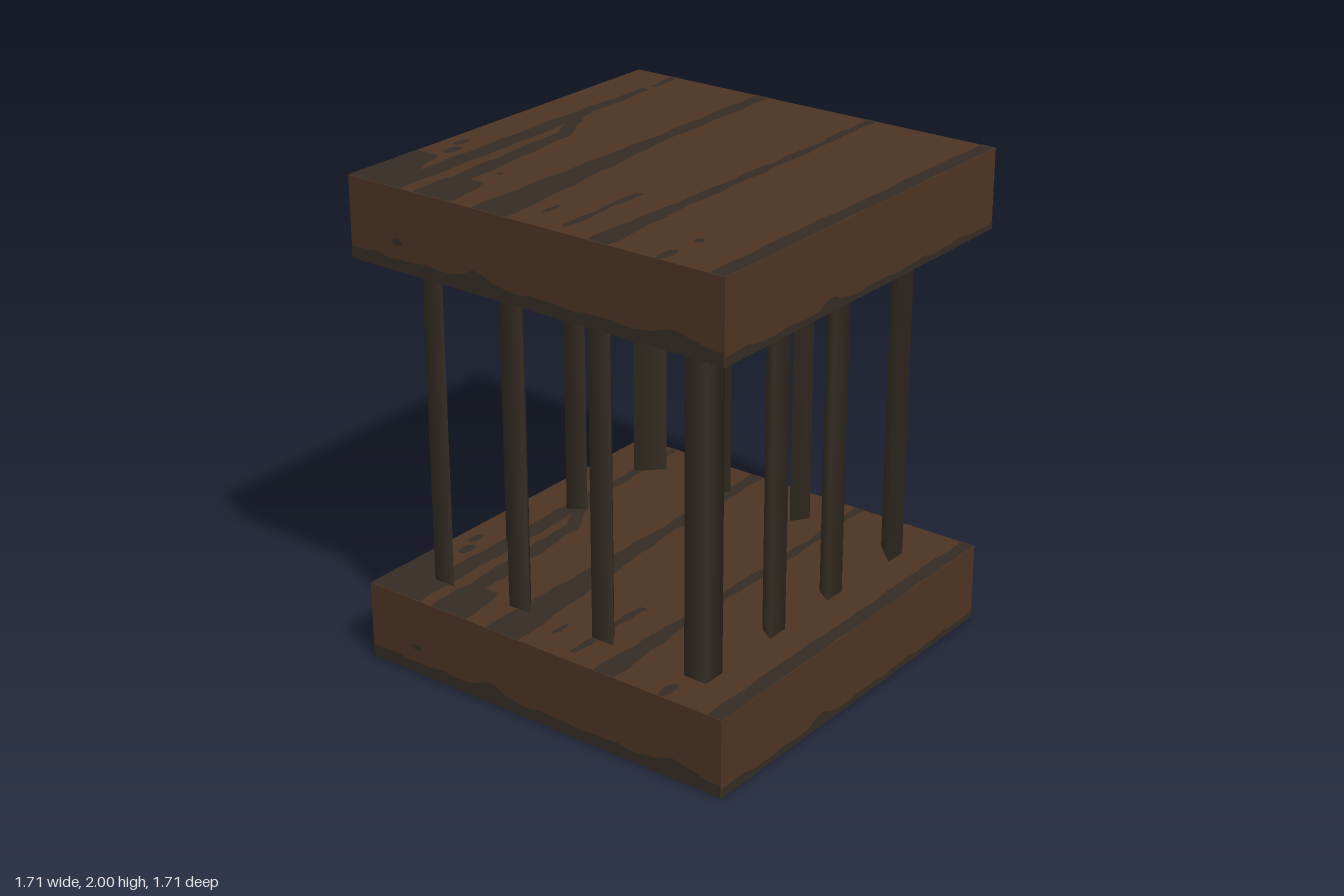
import * as THREE from 'three';

const HALF = 0.853, SLAB_H = 0.325, LIFT = 0.002;

// Wavy dark lower edges: a base height plus humps of [position, height, spread]
const EDGE_FRONT = { base: 0.052, humps: [[-0.25, 0.036, 0.07], [0.66, 0.03, 0.1]] };
const EDGE_SIDE = { base: 0.028, humps: [[-0.23, 0.028, 0.06], [-0.8, 0.012, 0.15]] };

const shapeOf = pts => new THREE.ShapeGeometry(new THREE.Shape(pts.map(p => new THREE.Vector2(p[0], p[1]))));
const ripple = t => 0.004 * Math.sin(t * 23) + 0.003 * Math.sin(t * 51 + 1);

// Streak outline between two ends, given as [z, centre x, width], with rippled sides
function streakShape(start, end) {
  const left = [], right = [];
  for (let i = 0; i <= 16; i++) {
    const [z, x, w] = start.map((v, k) => THREE.MathUtils.lerp(v, end[k], i / 16));
    left.push([Math.max(x - w / 2 + ripple(z), -HALF), -z]);
    right.unshift([Math.min(x + w / 2 + ripple(z + x + 2), HALF), -z]);
  }
  return shapeOf([...left, ...right]).rotateX(-Math.PI / 2);
}

// Dark strip along the foot of a slab side
function edgeShape({ base, humps }) {
  const pts = [[-HALF, LIFT]];
  for (let i = 0; i <= 40; i++) {
    const x = HALF * (i / 20 - 1);
    pts.push([x, humps.reduce((y, [p, h, s]) => y + h * Math.exp(-(((x - p) / s) ** 2)), base + ripple(x))]);
  }
  return shapeOf([...pts, [HALF, LIFT]]);
}

// Small flat oval knot
const knotShape = (w, l) => new THREE.CircleGeometry(1, 10).scale(w, l, 1);

export function createModel() {
  const wood = new THREE.MeshStandardMaterial({ color: 0x4d3423 });
  wood.name = 'brown wood';
  const dark = new THREE.MeshStandardMaterial({ color: 0x352d24 });
  dark.name = 'dark grain and bars';
  const model = new THREE.Group();
  model.name = 'cage';

  const add = (parent, name, geometry, material) => {
    const mesh = new THREE.Mesh(geometry, material);
    mesh.name = name;
    parent.add(mesh);
    return mesh;
  };

  // Grain for a flat face pointing up
  const grain = name => {
    const group = new THREE.Group();
    group.name = name;
    const streak = (start, end) => add(group, 'grainStreak', streakShape(start, end), dark);
    const knot = (x, z, w, l) =>
      add(group, 'grainKnot', knotShape(w, l).rotateX(-Math.PI / 2).translate(x, 0, z), dark);
    // Forked streak
    streak([-HALF, -0.662, 0.035], [-0.69, -0.655, 0.025]);
    streak([-0.65, -0.655, 0.035], [-0.2, -0.655, 0.06]);
    streak([-0.2, -0.65, 0.075], [HALF, -0.64, 0.085]);
    streak([-0.2, -0.635, 0.05], [0, -0.54, 0.06]);
    streak([0, -0.54, 0.06], [0.62, -0.5, 0.08]);
    streak([0.62, -0.468, 0.15], [HALF, -0.445, 0.19]);
    // Long streaks
    streak([-HALF, -0.22, 0.06], [-0.1, -0.212, 0.06]);
    streak([-0.1, -0.212, 0.07], [HALF, -0.175, 0.17]);
    streak([-HALF, 0.3, 0.04], [-0.55, 0.305, 0.03]);
    streak([-0.55, 0.312, 0.035], [0.5, 0.31, 0.055]);
    streak([0.5, 0.31, 0.07], [HALF, 0.315, 0.1]);
    streak([-HALF, 0.822, 0.062], [HALF, 0.819, 0.068]);
    streak([0.37, 0.118, 0.03], [0.8, 0.127, 0.027]);
    // Dark corner
    streak([0.49, -0.8, 0.11], [0.62, -0.775, 0.16]);
    streak([0.62, -0.775, 0.16], [HALF, -0.73, 0.25]);
    // Knots
    knot(-0.025, 0.69, 0.012, 0.05);
    knot(0.58, 0.63, 0.017, 0.022);
    knot(0.575, 0.8, 0.022, 0.055);
    knot(-0.42, 0.51, 0.014, 0.014);
    knot(-0.745, 0.41, 0.024, 0.045);
    knot(-0.78, 0.32, 0.02, 0.04);
    return group;
  };

  // Slabs with grain above and below and a wavy dark edge on each side
  const slab = (name, y) => {
    const group = new THREE.Group();
    group.name = name;
    group.position.y = y;
    const box = new THREE.BoxGeometry(HALF * 2, SLAB_H - LIFT * 2, HALF * 2).translate(0, SLAB_H / 2, 0);
    add(group, 'slabBody', box, wood);
    const top = grain('topGrain'), bottom = grain('bottomGrain');
    top.position.y = SLAB_H;
    bottom.rotation.z = Math.PI;
    group.add(top, bottom);
    for (let i = 0; i < 4; i++) {
      const side = new THREE.Group();
      side.name = 'sideGrain';
      side.rotation.y = i * Math.PI / 2;
      add(side, 'darkEdge', edgeShape(i % 2 ? EDGE_SIDE : EDGE_FRONT).translate(0, 0, HALF + LIFT), dark);
      if (i % 2 === 0) add(side, 'grainKnot', knotShape(0.025, 0.013).translate(-0.62, 0.115, HALF + LIFT), dark);
      group.add(side);
    }
    model.add(group);
  };
  slab('baseSlab', 0);
  slab('topSlab', 2 - SLAB_H);

  // Three-sided bars: the flat base passes through (x, z), the ridge points along (dx, dz)
  const bar = (name, x, z, dx, dz, width, depth) => {
    const prism = new THREE.CylinderGeometry(1, 1, 2 - SLAB_H * 2 + 0.02, 3, 1, true);
    prism.translate(0, 0, 0.5).scale(width / Math.sqrt(3), 1, depth / 1.5);
    const mesh = add(model, name, prism, dark);
    mesh.position.set(x, 1, z);
    mesh.rotation.y = Math.atan2(dx, dz);
  };

  // Corner bars, ridge outward
  for (const [x, z] of [[-0.62, 0.63], [0.605, 0.63], [0.605, -0.575], [-0.62, -0.62]]) {
    bar('cornerBar', x, z, Math.sign(x), Math.sign(z), 0.141, 0.071);
  }
  // Middle bars, flat face outward
  for (const x of [-0.25, 0.16]) bar('frontBar', x, 0.665, 0, -1, 0.1, 0.07);
  for (const x of [-0.27, 0.135]) bar('backBar', x, -0.655, 0, 1, 0.1, 0.07);
  for (const z of [0.22, -0.16]) {
    bar('leftBar', 0.645, z, -1, 0, 0.1, 0.07);
    bar('rightBar', -0.66, z, 1, 0, 0.1, 0.07);
  }
  return model;
}
